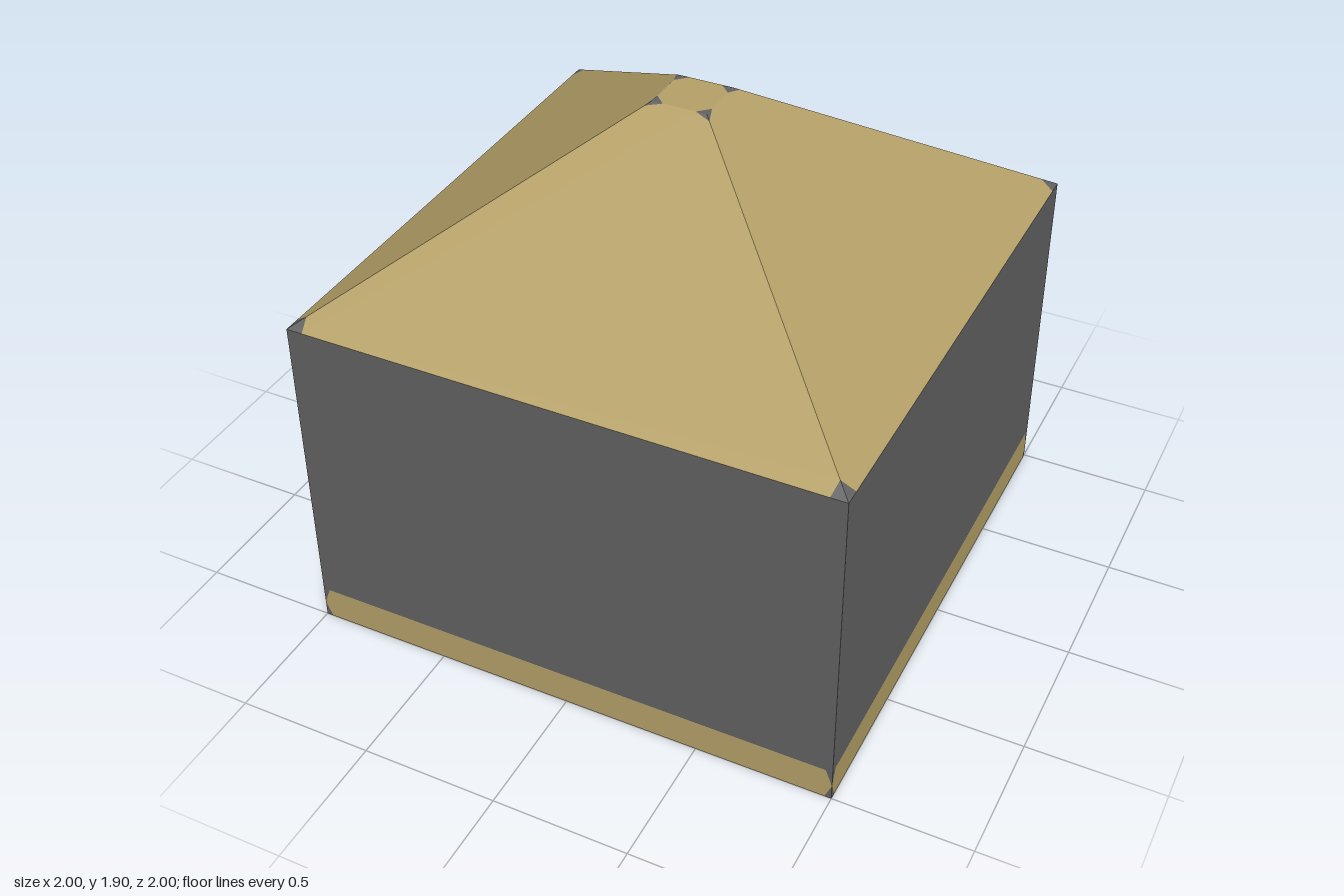
import * as THREE from 'three';

const sand = new THREE.MeshStandardMaterial({ color: 0xb5a067 });
sand.name = 'sand';
const slate = new THREE.MeshStandardMaterial({ color: 0x626262 });
slate.name = 'slate grey';
const black = new THREE.MeshStandardMaterial({ color: 0x080808 });
black.name = 'black';

// One mesh from flat convex polygons, corners counter-clockwise seen from outside
function faces(name, material, polygons) {
  const positions = [];
  for (const p of polygons) {
    for (let i = 1; i < p.length - 1; i++) positions.push(...p[0], ...p[i], ...p[i + 1]);
  }
  const geometry = new THREE.BufferGeometry();
  geometry.setAttribute('position', new THREE.Float32BufferAttribute(positions, 3));
  geometry.computeVertexNormals();
  const mesh = new THREE.Mesh(geometry, material);
  mesh.name = name;
  return mesh;
}

// Mirror polygons across x, keeping them facing outwards
const mirrored = (polygons) =>
  polygons.concat(polygons.map((p) => p.map(([x, y, z]) => [-x, y, z]).reverse()));

const EAVE = 1.28, PEAK = 1.905, CAP = 0.1, PLINTH = 0.125;
const DOOR_W = 0.25, DOOR_H = 0.75, BEVEL = 0.03;

// Point on a wall, and point on a roof slope (t: 0 at eave, 1 at cap; s: -1 to 1 across)
const wall = (x, y) => [x, y, 1];
const slope = (s, t) => {
  const w = 1 - (1 - CAP) * t;
  return [s * w, EAVE + (PEAK - EAVE) * t, w];
};

function createSide(hasDoor) {
  const side = new THREE.Group();

  // Plinth strip with clipped ends
  side.add(faces('plinth', sand, [[
    wall(-0.975, 0), wall(0.975, 0), wall(1, 0.06),
    wall(0.975, PLINTH), wall(-0.975, PLINTH), wall(-1, 0.06),
  ]]));
  side.add(faces('plinthCorners', slate, mirrored([
    [wall(0.975, 0), wall(1, 0), wall(1, 0.06)],
    [wall(1, 0.06), wall(1, PLINTH), wall(0.975, PLINTH)],
  ])));

  if (hasDoor) {
    // Wall around the doorway, then the door itself
    side.add(faces('doorWall', slate, [
      ...mirrored([
        [wall(DOOR_W, PLINTH), wall(1, PLINTH), wall(1, DOOR_H), wall(DOOR_W, DOOR_H)],
        [wall(DOOR_W, DOOR_H - BEVEL), wall(DOOR_W, DOOR_H), wall(DOOR_W - BEVEL, DOOR_H)],
      ]),
      [wall(-1, DOOR_H), wall(1, DOOR_H), wall(1, EAVE), wall(-1, EAVE)],
    ]));
    side.add(faces('door', sand, [[
      wall(-DOOR_W, PLINTH), wall(DOOR_W, PLINTH), wall(DOOR_W, DOOR_H - BEVEL),
      wall(DOOR_W - BEVEL, DOOR_H), wall(BEVEL - DOOR_W, DOOR_H), wall(-DOOR_W, DOOR_H - BEVEL),
    ]]));
  } else {
    side.add(faces('wall', slate, [
      [wall(-1, PLINTH), wall(1, PLINTH), wall(1, EAVE), wall(-1, EAVE)],
    ]));
  }

  // Roof slope with small grey tips at its corners
  side.add(faces('roofSlope', sand, [[
    slope(-0.94, 0), slope(0.94, 0), slope(1, 0.055), slope(1, 0.98),
    slope(0.6, 1), slope(-0.6, 1), slope(-1, 0.98), slope(-1, 0.055),
  ]]));
  side.add(faces('roofTips', slate, mirrored([
    [slope(0.94, 0), slope(1, 0), slope(1, 0.055)],
    [slope(1, 0.98), slope(1, 1), slope(0.6, 1)],
  ])));

  // Grey corner of the flat cap
  side.add(faces('capCorner', slate, [
    [[CAP, PEAK, CAP], [CAP, PEAK, 0.06], [0.06, PEAK, CAP]],
  ]));
  return side;
}

export function createModel() {
  const house = new THREE.Group();
  house.name = 'house';

  // Four sides; the door is on the -x side
  ['front', 'left', 'back', 'right'].forEach((name, i) => {
    const side = createSide(name === 'right');
    side.name = name + 'Side';
    side.rotation.y = (i * Math.PI) / 2;
    house.add(side);
  });

  // Flat roof cap
  const a = CAP, b = 0.06;
  house.add(faces('roofCap', sand, [
    [[-b, -a], [-a, -b], [-a, b], [-b, a], [b, a], [a, b], [a, -b], [b, -a]]
      .map(([x, z]) => [x, PEAK, z]),
  ]));

  // Underside with a sand strip along the +x edge
  house.add(faces('underside', black, [
    [[-1, 0, -1], [0.83, 0, -1], [0.73, 0, 1], [-1, 0, 1]],
  ]));
  house.add(faces('undersideStrip', sand, [
    [[0.83, 0, -1], [1, 0, -1], [1, 0, 1], [0.73, 0, 1]],
  ]));

  return house;
}
